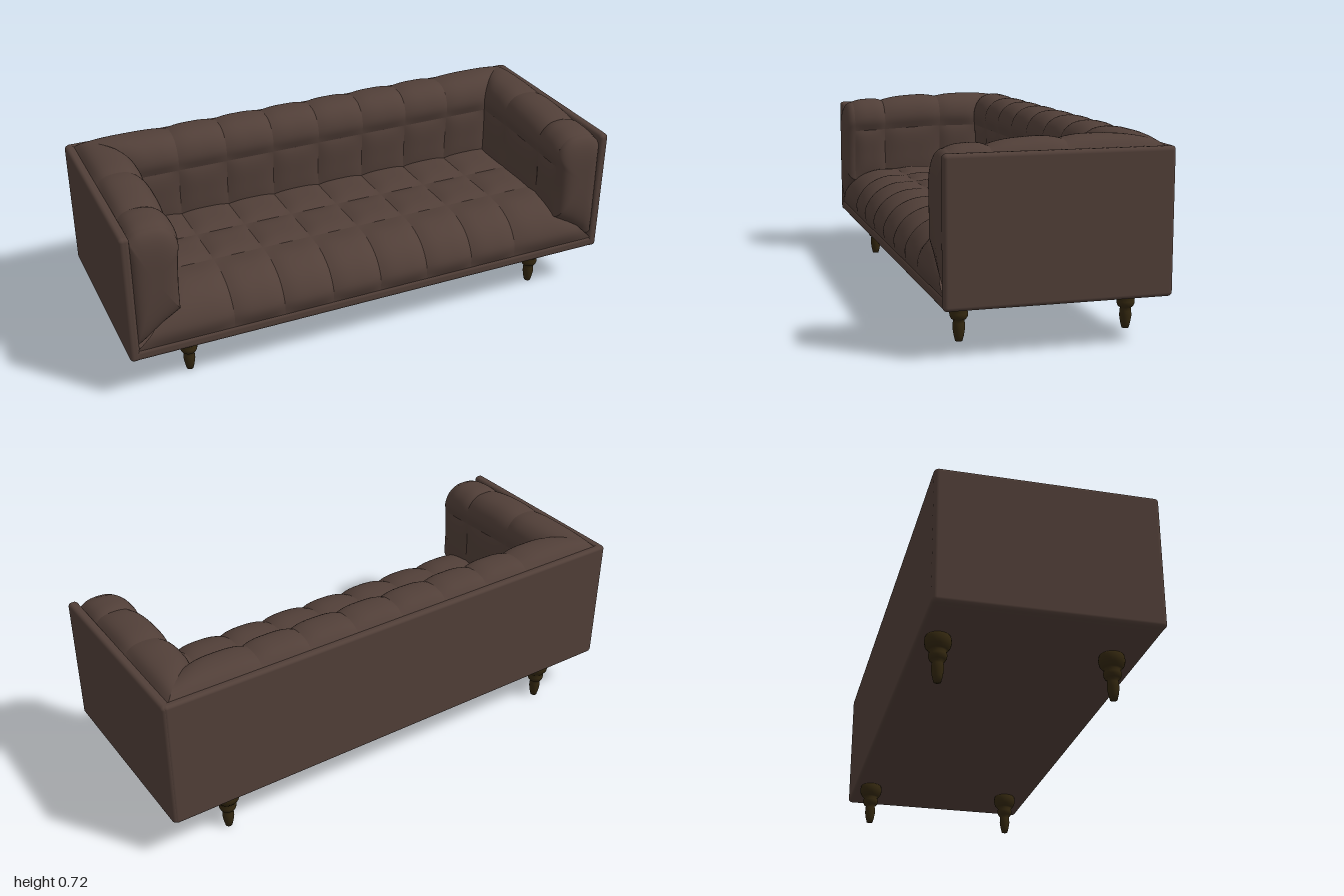
import * as THREE from 'three';
import { mergeGeometries } from 'three/addons/utils/BufferGeometryUtils.js';
import { RoundedBoxGeometry } from 'three/addons/geometries/RoundedBoxGeometry.js';

const leather = new THREE.MeshStandardMaterial({ color: 0x513f38, side: THREE.DoubleSide });
leather.name = 'brown leather';
const wood = new THREE.MeshStandardMaterial({ color: 0x33270f });
wood.name = 'dark wood';

const curveOf = (pts) => new THREE.CatmullRomCurve3(pts.map(([a, y]) => new THREE.Vector3(a, y, 0)));

// Smooth grid of (nu+1) x (nv+1) points; at(u, v) gives a position for u, v in 0..1
function grid(nu, nv, at) {
  const pos = [], idx = [];
  for (let i = 0; i <= nu; i++) {
    for (let j = 0; j <= nv; j++) {
      pos.push(...at(i / nu, j / nv));
      if (i < nu && j < nv) {
        const a = i * (nv + 1) + j, b = a + nv + 1;
        idx.push(a, b, a + 1, b, b + 1, a + 1);
      }
    }
  }
  const g = new THREE.BufferGeometry();
  g.setAttribute('position', new THREE.Float32BufferAttribute(pos, 3));
  g.setIndex(idx);
  g.computeVertexNormals();
  return g;
}

// Quilted upholstery: a profile swept across seams, every cell puffed outwards.
// rows: profile indices of the seams; cols(a, y): seam positions along the sweep
function quilt(pts, rows, cols, place, puff) {
  const curve = curveOf(pts), last = pts.length - 1, cells = [];
  const swell = (f) => 1 - Math.abs(2 * f - 1) ** 3;
  const count = cols(pts[0][0], pts[0][1]).length - 1;
  for (let r = 0; r < rows.length - 1; r++) {
    for (let c = 0; c < count; c++) {
      cells.push(grid(6 * Math.min(4, rows[r + 1] - rows[r] + 1), 12, (u, v) => {
        const t = (rows[r] + u * (rows[r + 1] - rows[r])) / last;
        const p = curve.getPoint(t), d = curve.getTangent(t);
        const seams = cols(p.x, p.y);
        const h = puff * swell(u) * swell(v);
        const along = seams[c] + v * (seams[c + 1] - seams[c]);
        return place(p.x - d.y * h, p.y + d.x * h, along);
      }));
    }
  }
  return mergeGeometries(cells);
}

// Padded roll shared by back and arms: [depth behind the inner face, height]
const roll = [[0.01, 0.34], [0.01, 0.47], [0.004, 0.58], [0, 0.63], [0.017, 0.675],
  [0.05, 0.703], [0.1, 0.711], [0.15, 0.703], [0.185, 0.675]];
const rollSeams = [0, 2, 8];
const inner = 0.785, backFace = -0.205, armEnd = 0.36;
const mid = [-0.6, -0.4, -0.2, 0, 0.2, 0.4, 0.6];

// Arm tops slope down slightly to the front
const armDrop = (y, z) => y - 0.022 * THREE.MathUtils.smoothstep(z, -0.05, 0.4) *
  THREE.MathUtils.smoothstep(y, 0.4, 0.7);

export function createModel() {
  const group = new THREE.Group();
  const add = (name, geo, mat = leather, x = 0, y = 0, z = 0) => {
    const m = new THREE.Mesh(geo, mat);
    m.name = name;
    m.position.set(x, y, z);
    group.add(m);
    return m;
  };
  const box = (name, w, h, d, r, x, y, z) =>
    add(name, new RoundedBoxGeometry(w, h, d, 4, r), leather, x, y, z);

  // Outer shell
  box('baseRail', 1.97, 0.045, 0.8, 0.016, 0, 0.1925, -0.006);
  box('backPanel', 1.985, 0.515, 0.032, 0.012, 0, 0.4275, -0.394);

  // Seat cushion, rolled over at the front and mitred to the arms
  const seat = [[-0.27, 0.38], [-0.03, 0.382], [0.17, 0.384], [0.27, 0.374],
    [0.345, 0.335], [0.388, 0.27], [0.39, 0.212]];
  add('seatCushion', quilt(seat, [0, 1, 2, 6], (z, y) => {
    const end = 0.8 + Math.max(0, 0.384 - y);
    return [-end, ...mid, end];
  }, (z, y, x) => [x, y, z], 0.016));

  // Back cushion, mitred to the arms at the corners
  add('backCushion', quilt(roll, rollSeams, (d) => [-inner - d, ...mid, inner + d],
    (d, y, x) => [x, y, backFace - d], 0.013));

  for (const s of [1, -1]) {
    const side = s > 0 ? 'left' : 'right';
    box(side + 'SidePanel', 0.038, 0.515, 0.803, 0.015, s * 0.981, 0.4275, -0.0065);

    // Arm cushion
    add(side + 'ArmCushion', quilt(roll, rollSeams, (d) => [backFace - d, -0.04, 0.22, armEnd],
      (d, y, z) => [s * (inner + d), armDrop(y, z), z], 0.013));

    // Domed arm front with a diagonal lower edge and a seam across it
    const curve = curveOf(roll);
    const outline = [];
    for (let i = 0; i <= 40; i++) {
      const p = curve.getPoint(i / 40);
      outline.push([inner + p.x, armDrop(p.y, armEnd)]);
    }
    outline.push([0.97, 0.6], [0.972, 0.45], [0.974, 0.3], [0.974, 0.215],
      [0.93, 0.245], [0.86, 0.3], [inner + 0.01, 0.34]);
    const n = outline.length - 1;
    add(side + 'ArmFront', grid(n, 14, (u, v) => {
      const [x, y] = outline[Math.round(u * n)];
      const k = Math.cos(v * Math.PI / 2);
      const px = 0.888 + (x - 0.888) * k, py = 0.5 + (y - 0.5) * k;
      return [s * px, py, armEnd + 0.046 * Math.sqrt(1 - k ** 4)];
    }));

    // Turned legs
    const profile = [[0, 0], [0.013, 0], [0.018, 0.02], [0.022, 0.045], [0.021, 0.065], [0.019, 0.075],
      [0.027, 0.08], [0.032, 0.09], [0.033, 0.1], [0.029, 0.113], [0.034, 0.117], [0.044, 0.13],
      [0.048, 0.147], [0.046, 0.163], [0.042, 0.172], [0, 0.172]];
    for (const [end, z] of [['Front', 0.28], ['Back', -0.34]]) {
      add(side + end + 'Leg', new THREE.LatheGeometry(profile.map(([r, y]) => new THREE.Vector2(r, y)), 24),
        wood, s * 0.752, 0, z);
    }
  }
  return group;
}
